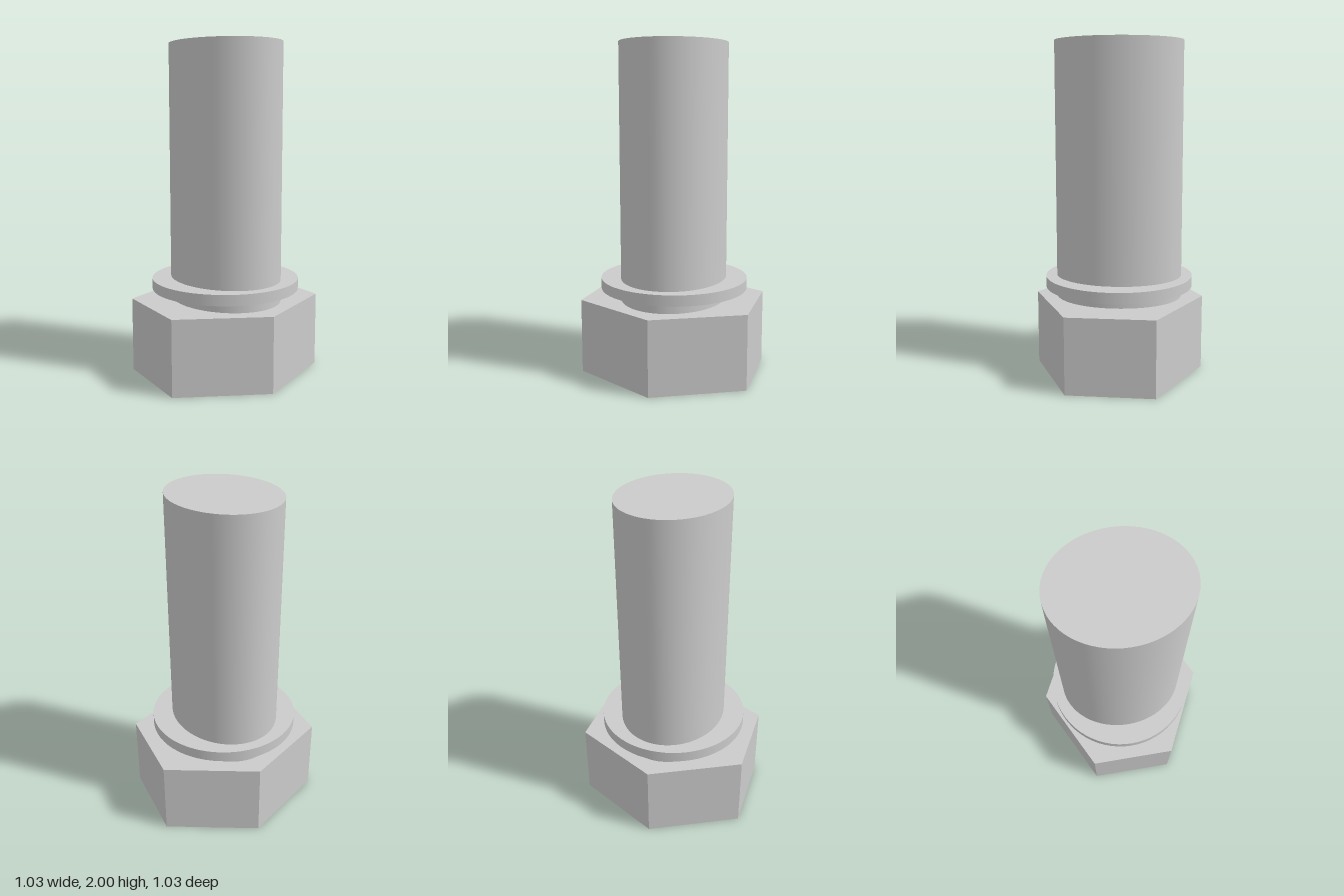
import * as THREE from 'three';

const HEAD_TOP = 0.455, RECESS_DEPTH = 0.2, HEIGHT = 2;
const material = new THREE.MeshStandardMaterial({ color: 0xcccccc });

function part(name, geometry, y = 0) {
  const mesh = new THREE.Mesh(geometry, material);
  mesh.name = name;
  mesh.position.y = y;
  return mesh;
}

// Cross-shaped opening: four arms with arced tips and square inner corners
function crossPath(radius, halfWidth) {
  const path = new THREE.Path();
  const tip = Math.asin(halfWidth / radius);
  const corner = 0.072 * Math.SQRT2;
  for (let i = 0; i < 4; i++) {
    const a = i * Math.PI / 2;
    for (let j = 0; j <= 6; j++) {
      const t = a - tip + (2 * tip * j) / 6;
      const x = radius * Math.cos(t), y = radius * Math.sin(t);
      if (i === 0 && j === 0) path.moveTo(x, y);
      else path.lineTo(x, y);
    }
    const c = a + Math.PI / 4;
    path.lineTo(corner * Math.cos(c), corner * Math.sin(c));
  }
  path.closePath();
  return path;
}

export function createModel() {
  const group = new THREE.Group();
  group.name = 'bolt';

  // Hexagonal head, slightly squashed, with the driver opening
  const hex = new THREE.Shape([
    [0, 0.515], [-0.515, 0.258], [-0.515, -0.258],
    [0, -0.515], [0.515, -0.258], [0.515, 0.258],
  ].map(([x, y]) => new THREE.Vector2(x, y)));
  hex.holes.push(crossPath(0.26, 0.062));
  const head = new THREE.ExtrudeGeometry(hex, { depth: HEAD_TOP, bevelEnabled: false });
  head.rotateX(-Math.PI / 2);
  group.add(part('hexHead', head));

  // Oval shaft; its lower end sits inside the head and forms the recess floor
  const length = HEIGHT - RECESS_DEPTH;
  const shaft = new THREE.CylinderGeometry(1, 1, length, 64);
  shaft.scale(0.32, 1, 0.385);
  group.add(part('shaft', shaft, RECESS_DEPTH + length / 2));

  // Round washer held just above the head
  group.add(part('washer', new THREE.CylinderGeometry(0.45, 0.45, 0.065, 64), 0.5525));

  return group;
}
